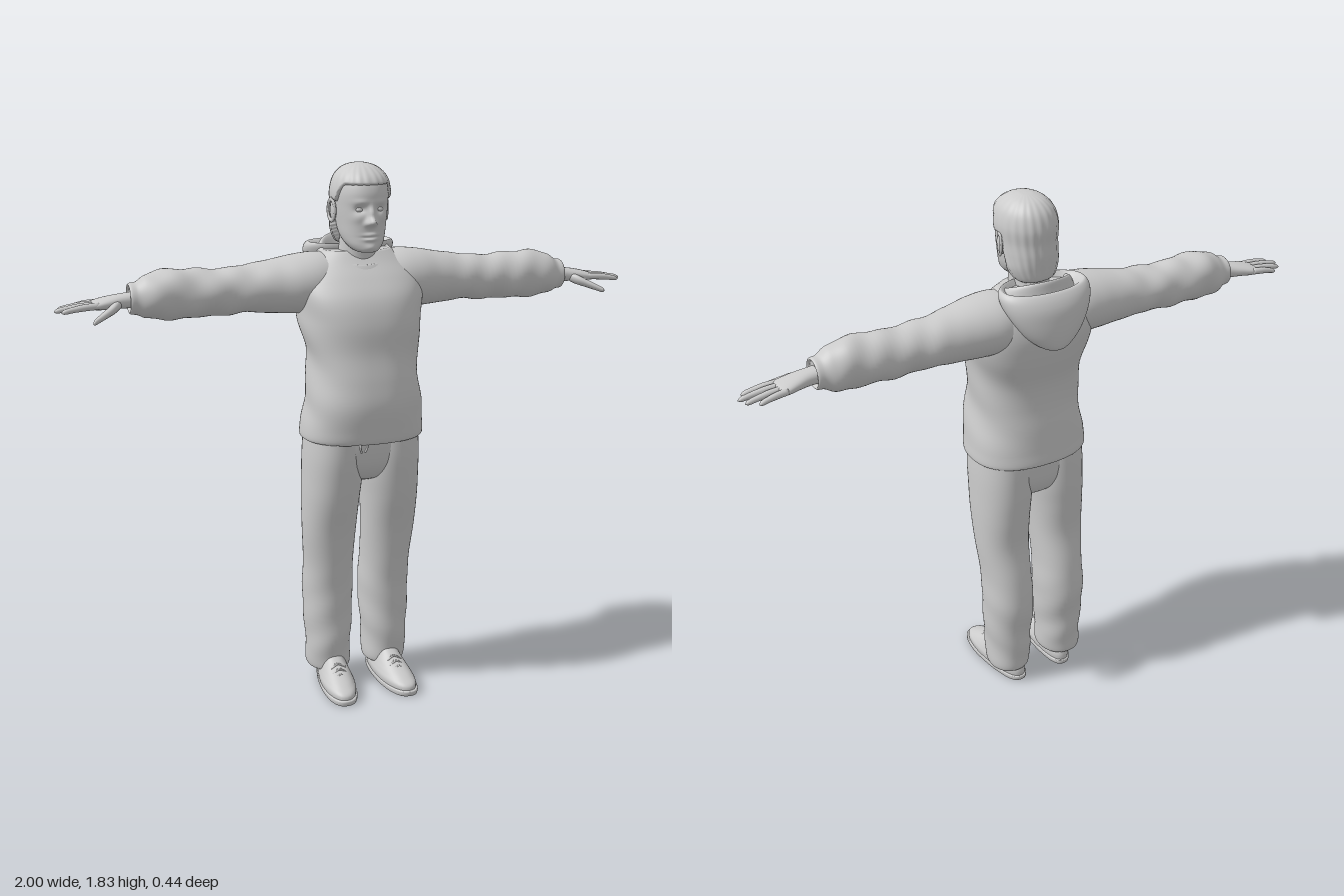
import * as THREE from 'three';

const material = new THREE.MeshStandardMaterial({ color: 0xcccccc });

// Smooth interpolation through a list of cross-sections, spaced by their distance
function interpolate(keys, steps) {
  const h = keys.slice(1).map((k, i) => Math.sqrt(Math.hypot(...k.map((v, c) => v - keys[i][c]))) + 1e-4);
  const slope = (i, c) => (keys[i + 1][c] - keys[i][c]) / h[i];
  const tangent = (i, c) => {
    if (i === 0) return slope(0, c);
    if (i === keys.length - 1) return slope(i - 1, c);
    return (slope(i - 1, c) * h[i] + slope(i, c) * h[i - 1]) / (h[i - 1] + h[i]);
  };
  const out = [];
  for (let i = 0; i < keys.length - 1; i++) {
    for (let s = 0; s < steps; s++) {
      const t = s / steps, t2 = t * t, t3 = t2 * t;
      out.push(keys[i].map((a, c) => a * (2 * t3 - 3 * t2 + 1) + keys[i + 1][c] * (3 * t2 - 2 * t3)
        + h[i] * (tangent(i, c) * (t3 - 2 * t2 + t) + tangent(i + 1, c) * (t3 - t2))));
    }
  }
  out.push(keys[keys.length - 1]);
  return out;
}

// Closed skin over sections [t, centreU, centreV, radiusU, radiusV].
// Axis y: u = x, v = z. Axis x: u = z, v = y. n squares the section; warp moves each point.
function loft(name, keys, { axis = 'y', n = 2, seg = 40, steps = 6, warp } = {}) {
  const rings = interpolate(keys, steps), pos = [], index = [], p = new THREE.Vector3();
  const put = (t, u, v, a, cu, cv) => {
    if (axis === 'y') p.set(u, t, v); else p.set(t, v, u);
    if (warp) warp(p, a, cu, cv);
    pos.push(p.x, p.y, p.z);
  };
  const power = (v) => Math.sign(v) * Math.abs(v) ** (2 / n);
  for (const [t, cu, cv, ru, rv] of rings) {
    for (let j = 0; j < seg; j++) {
      const a = (j / seg) * Math.PI * 2;
      put(t, cu + Math.max(ru, 0) * power(Math.sin(a)), cv + Math.max(rv, 0) * power(Math.cos(a)), a, cu, cv);
    }
  }
  for (let i = 0; i < rings.length - 1; i++) {
    for (let j = 0; j < seg; j++) {
      const a = i * seg + j, b = i * seg + (j + 1) % seg;
      index.push(a, b, b + seg, a, b + seg, a + seg);
    }
  }
  // end caps
  const last = rings.length - 1;
  for (const i of [0, last]) {
    const [t, cu, cv] = rings[i], c = pos.length / 3;
    put(t, cu, cv, 0, cu, cv);
    for (let j = 0; j < seg; j++) {
      const a = i * seg + j, b = i * seg + (j + 1) % seg;
      index.push(...(i ? [a, b, c] : [b, a, c]));
    }
  }
  const g = new THREE.BufferGeometry();
  g.setAttribute('position', new THREE.Float32BufferAttribute(pos, 3));
  g.setIndex(index);
  g.computeVertexNormals();
  return part(name, g);
}

function part(name, geometry) {
  const mesh = new THREE.Mesh(geometry, material);
  mesh.name = name;
  return mesh;
}

function cord(name, points, radius) {
  const curve = new THREE.CatmullRomCurve3(points.map((q) => new THREE.Vector3(...q)));
  return part(name, new THREE.TubeGeometry(curve, 16, radius, 6));
}

const smooth = THREE.MathUtils.smoothstep;

// Facial relief: [x, y, width, height, depth], x mirrored when not zero
const relief = [
  [0, 1.65, 0.013, 0.014, 0.034], [0, 1.678, 0.010, 0.02, 0.017], [0.015, 1.644, 0.008, 0.008, 0.01],
  [0.033, 1.688, 0.017, 0.012, -0.012], [0.034, 1.712, 0.024, 0.008, 0.004], [0.045, 1.66, 0.018, 0.015, 0.004],
  [0, 1.607, 0.022, 0.005, 0.008], [0, 1.592, 0.02, 0.006, 0.008], [0, 1.599, 0.026, 0.003, -0.004],
  [0, 1.565, 0.02, 0.011, 0.007],
];
function faceWarp(p) {
  const front = smooth(p.z, 0.03, 0.08), { x, y } = p;
  for (const [cx, cy, w, h, d] of relief) {
    for (const side of cx ? [-cx, cx] : [0]) {
      p.z += front * d * Math.exp(-(((x - side) / w) ** 2) - ((y - cy) / h) ** 2);
    }
  }
}

// Hair sinks into the head below the hairline and is combed in fine grooves
function hairWarp(p, a, cu, cv) {
  const line = 1.56 + 0.15 * smooth(p.z, -0.035, 0.0) + 0.055 * smooth(p.z, 0.03, 0.08);
  const inside = 1 - smooth(p.y, line - 0.01, line + 0.006);
  const k = (1 - 0.25 * inside) * (1 + 0.012 * Math.sin(a * 22 + p.y * 20));
  p.x *= k;
  p.z = cv + (p.z - cv) * k;
}

function buildHead() {
  const head = new THREE.Group();
  head.name = 'head';
  head.add(
    loft('face', [
      [1.546, 0, 0.07, 0.012, 0.02], [1.551, 0, 0.066, 0.036, 0.046], [1.57, 0, 0.05, 0.057, 0.068],
      [1.6, 0, 0.028, 0.071, 0.09], [1.64, 0, 0.017, 0.078, 0.104], [1.69, 0, 0.013, 0.084, 0.11],
      [1.74, 0, 0.012, 0.086, 0.113], [1.78, 0, 0.01, 0.078, 0.1], [1.81, 0, 0.006, 0.055, 0.07], [1.822, 0, 0.005, 0.01, 0.01],
    ], { seg: 120, steps: 10, n: 2.2, warp: faceWarp }),
    loft('hair', [
      [1.565, 0, -0.055, 0.055, 0.036], [1.575, 0, -0.045, 0.07, 0.055], [1.61, 0, -0.03, 0.087, 0.075],
      [1.65, 0, -0.008, 0.093, 0.1], [1.69, 0, 0.008, 0.095, 0.115], [1.74, 0, 0.011, 0.097, 0.121],
      [1.785, 0, 0.01, 0.085, 0.107], [1.815, 0, 0.006, 0.058, 0.073], [1.828, 0, 0.005, 0.025, 0.03], [1.83, 0, 0.005, 0.004, 0.004],
    ], { seg: 120, steps: 8, n: 2.15, warp: hairWarp }),
    loft('neck', [
      [1.42, 0, -0.03, 0.085, 0.085], [1.5, 0, -0.022, 0.07, 0.075], [1.55, 0, -0.012, 0.064, 0.07], [1.62, 0, 0, 0.06, 0.07],
    ]),
  );
  for (const s of [-1, 1]) {
    const ear = part('ear', new THREE.SphereGeometry(1, 20, 14));
    ear.scale.set(0.009, 0.035, 0.02);
    ear.position.set(s * 0.09, 1.677, 0.004);
    const rim = part('earRim', new THREE.TorusGeometry(0.02, 0.0045, 8, 24));
    rim.rotation.y = s * 1.3;
    rim.scale.y = 1.7;
    rim.position.set(s * 0.096, 1.679, 0.002);
    const eye = part('eye', new THREE.SphereGeometry(0.0115, 20, 14));
    eye.scale.set(1.2, 0.8, 1);
    eye.position.set(s * 0.033, 1.687, 0.1);
    head.add(ear, rim, eye);
  }
  return head;
}

function buildSweater() {
  const sweater = new THREE.Group();
  sweater.name = 'hoodedSweater';
  const tilt = (p) => { p.y -= 0.4 * p.z; };
  sweater.add(
    loft('sweaterBody', [
      [0.935, 0, 0.015, 0.19, 0.145], [0.92, 0, 0.015, 0.2, 0.157], [0.923, 0, 0.016, 0.208, 0.165],
      [0.97, 0, 0.023, 0.206, 0.169], [1.05, 0, 0.032, 0.194, 0.172], [1.13, 0, 0.032, 0.186, 0.164],
      [1.22, 0, 0.022, 0.187, 0.158], [1.32, 0, 0.006, 0.206, 0.168], [1.4, 0, -0.012, 0.214, 0.163],
      [1.46, 0, -0.03, 0.205, 0.138], [1.51, 0, -0.045, 0.165, 0.108], [1.545, 0, -0.05, 0.12, 0.085],
    ], {
      n: 2.4, seg: 72, warp: (p, a) => {
        const fold = 0.004 * Math.sin(p.y * 34 + a * 3) * Math.abs(Math.sin(a)) * smooth(p.y, 0.93, 1.05);
        p.x += fold * Math.sign(p.x);
      },
    }),
    // neckline, higher at the back
    loft('collar', [
      [1.465, 0, -0.02, 0.15, 0.14], [1.5, 0, -0.03, 0.138, 0.126], [1.527, 0, -0.037, 0.122, 0.115],
      [1.532, 0, -0.037, 0.113, 0.109], [1.525, 0, -0.036, 0.105, 0.102], [1.49, 0, -0.03, 0.09, 0.09],
    ], { seg: 56, warp: tilt }),
    // hood lying on the back, hollow at the top
    loft('hood', [
      [1.37, 0, -0.17, 0.015, 0.025], [1.38, 0, -0.17, 0.045, 0.042], [1.415, 0, -0.162, 0.09, 0.058],
      [1.47, 0, -0.145, 0.13, 0.075], [1.52, 0, -0.122, 0.153, 0.09], [1.55, 0, -0.108, 0.156, 0.088],
      [1.564, 0, -0.1, 0.145, 0.08], [1.553, 0, -0.095, 0.127, 0.068], [1.515, 0, -0.095, 0.1, 0.05],
    ], { seg: 56, n: 2.15 }),
  );
  for (const s of [-1, 1]) {
    sweater.add(cord('drawstring', [[-0.045 + s * 0.008, 0.945, 0.165], [-0.045 + s * 0.012, 0.915, 0.178],
      [-0.045 + s * 0.006, 0.895, 0.172]], 0.004));
  }
  return sweater;
}

function buildArm() {
  const arm = new THREE.Group();
  arm.name = 'arm';
  const x = { axis: 'x' };
  arm.add(
    loft('sleeve', [
      [0.08, -0.04, 1.44, 0.1, 0.095], [0.15, -0.038, 1.44, 0.112, 0.1], [0.21, -0.037, 1.437, 0.108, 0.098],
      [0.28, -0.04, 1.433, 0.095, 0.09], [0.38, -0.043, 1.428, 0.084, 0.078], [0.48, -0.042, 1.423, 0.079, 0.077],
      [0.58, -0.041, 1.424, 0.077, 0.08], [0.66, -0.04, 1.426, 0.074, 0.081], [0.71, -0.04, 1.42, 0.066, 0.069],
      [0.74, -0.04, 1.418, 0.053, 0.053], [0.76, -0.04, 1.418, 0.05, 0.05], [0.764, -0.04, 1.418, 0.045, 0.045],
      [0.755, -0.04, 1.418, 0.038, 0.036],
    ], {
      axis: 'x', seg: 48, warp: (p, a, cu, cv) => {
        const k = 1 + smooth(p.x, 0.25, 0.45) * (1 - smooth(p.x, 0.7, 0.75))
          * (0.03 * Math.sin(p.x * 62 + a * 2) + 0.025 * Math.sin(p.x * 37 - a * 3));
        p.z = cu + (p.z - cu) * k;
        p.y = cv + (p.y - cv) * k;
      },
    }),
    loft('palm', [
      [0.73, -0.04, 1.415, 0.033, 0.027], [0.78, -0.041, 1.413, 0.034, 0.024], [0.82, -0.044, 1.41, 0.041, 0.021],
      [0.86, -0.048, 1.405, 0.046, 0.017], [0.88, -0.048, 1.403, 0.043, 0.012], [0.885, -0.048, 1.402, 0.03, 0.006],
    ], { ...x, n: 2.3 }),
    loft('thumb', [
      [0.785, -0.03, 1.408, 0.012, 0.01], [0.81, -0.008, 1.4, 0.026, 0.017], [0.84, 0.018, 1.387, 0.021, 0.014],
      [0.87, 0.041, 1.374, 0.014, 0.011], [0.888, 0.054, 1.366, 0.009, 0.008], [0.893, 0.058, 1.364, 0.002, 0.002],
    ], { ...x, seg: 20 }),
  );
  // fingers from little to index: [base z, tip z, tip x]
  for (const [z0, z1, tip] of [[-0.083, -0.092, 0.953], [-0.06, -0.068, 0.988], [-0.036, -0.038, 1.0], [-0.014, -0.009, 0.98]]) {
    const at = (f, r) => [0.86 + (tip - 0.86) * f, z0 + (z1 - z0) * f, 1.405 - 0.014 * f * f, r, r];
    arm.add(loft('finger', [at(0, 0.011), at(0.4, 0.0112), at(0.7, 0.0095), at(0.93, 0.0075), at(1, 0.002)], { ...x, seg: 16, steps: 4 }));
  }
  return arm;
}

function buildLeg() {
  const leg = new THREE.Group();
  leg.name = 'leg';
  leg.add(
    loft('trouserLeg', [
      [0.075, 0.105, -0.04, 0.058, 0.066], [0.058, 0.105, -0.042, 0.07, 0.079], [0.066, 0.105, -0.042, 0.075, 0.084],
      [0.12, 0.105, -0.041, 0.076, 0.09], [0.2, 0.105, -0.04, 0.081, 0.093], [0.34, 0.104, -0.045, 0.087, 0.1],
      [0.45, 0.105, -0.032, 0.085, 0.1], [0.58, 0.108, -0.01, 0.092, 0.101], [0.7, 0.106, 0.002, 0.097, 0.12],
      [0.78, 0.102, 0.007, 0.1, 0.131], [0.86, 0.1, 0.012, 0.1, 0.138], [0.95, 0.097, 0.015, 0.097, 0.14],
    ], {
      seg: 48, n: 2.15, warp: (p, a, cu, cv) => {
        const k = 1 + 0.025 * Math.sin(p.y * 45 + a * 2) * (1 - smooth(p.y, 0.15, 0.5));
        p.x = cu + (p.x - cu) * k;
        p.z = cv + (p.z - cv) * k;
      },
    }),
  );
  // shoe: narrower heel, toe turned slightly out
  const last = (p) => {
    p.x = 0.1 + (p.x - 0.1) * (0.88 + 0.12 * smooth(p.z, -0.08, 0.1)) + 0.07 * p.z;
  };
  leg.add(
    loft('sole', [[0, 0.1, 0.048, 0.052, 0.162], [0.003, 0.1, 0.048, 0.058, 0.168], [0.018, 0.1, 0.048, 0.059, 0.17],
      [0.021, 0.1, 0.048, 0.054, 0.164]], { n: 2.5, warp: last }),
    loft('shoeUpper', [[0.015, 0.1, 0.047, 0.056, 0.164], [0.035, 0.1, 0.044, 0.058, 0.162], [0.052, 0.1, 0.03, 0.054, 0.145],
      [0.07, 0.1, 0.01, 0.048, 0.122], [0.09, 0.1, -0.014, 0.043, 0.097], [0.11, 0.1, -0.03, 0.04, 0.08],
      [0.125, 0.1, -0.038, 0.038, 0.065]], { n: 2.3, warp: last }),
  );
  for (let i = 0; i < 4; i++) {
    const z = 0.075 + i * 0.021, y = 0.096 - i * 0.011, c = 0.1 + 0.07 * z;
    for (const s of [-1, 1]) {
      leg.add(cord('lace', [[c - s * 0.026, y - 0.012, z - 0.012], [c, y, z], [c + s * 0.026, y - 0.012, z + 0.006]], 0.0035));
    }
  }
  return leg;
}

export function createModel() {
  const model = new THREE.Group();
  model.name = 'standingPerson';
  model.add(buildHead(), buildSweater());
  model.add(loft('trouserSeat', [
    [0.765, 0, 0.005, 0.05, 0.06], [0.785, 0, 0.006, 0.11, 0.1], [0.83, 0, 0.01, 0.17, 0.125],
    [0.88, 0, 0.013, 0.19, 0.134], [0.95, 0, 0.015, 0.19, 0.138],
  ], { n: 2.4 }));
  for (const s of [1, -1]) {
    const side = new THREE.Group();
    side.name = s > 0 ? 'leftLimbs' : 'rightLimbs';
    side.scale.x = s;
    side.add(buildArm(), buildLeg());
    model.add(side);
  }
  return model;
}
